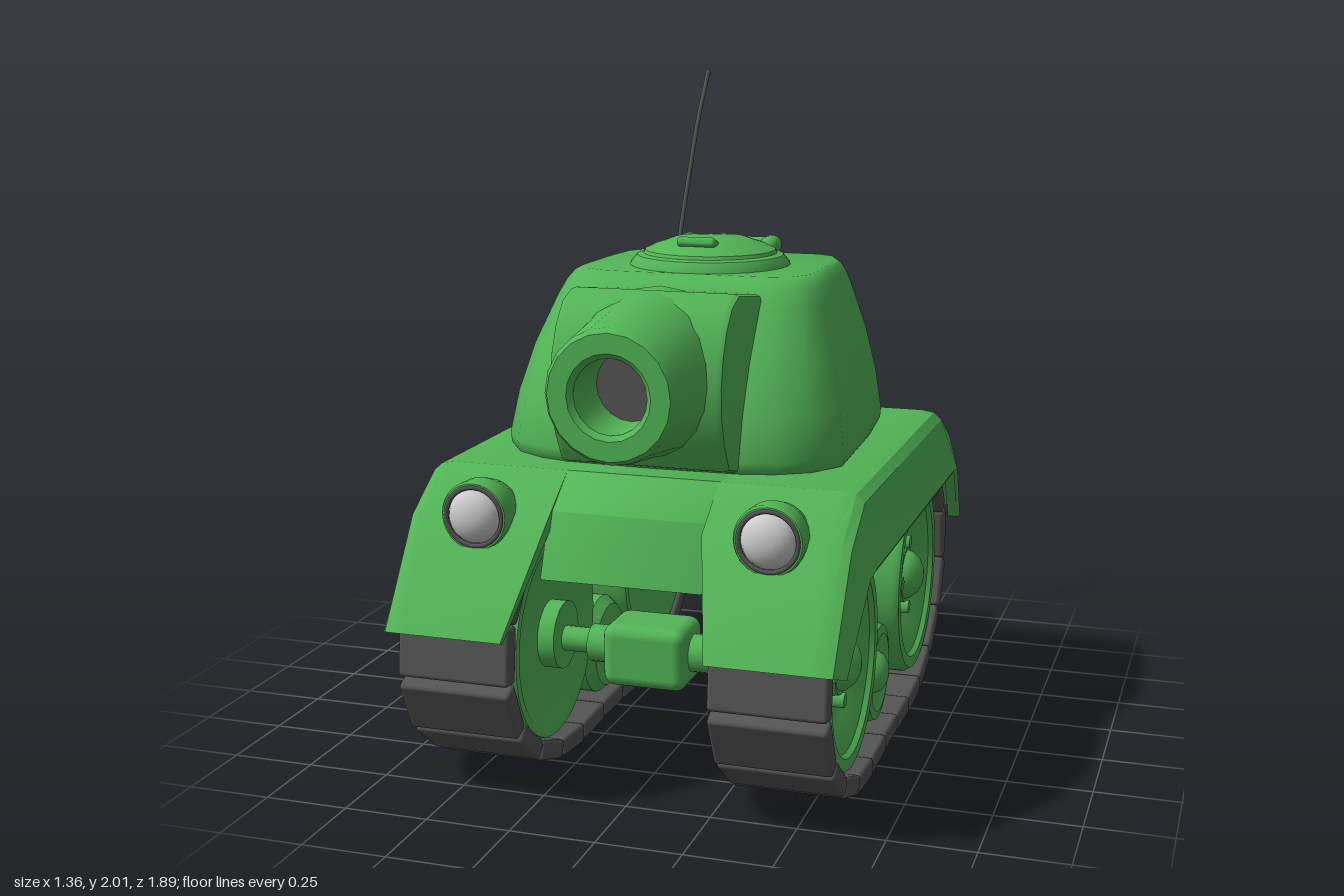
import * as THREE from 'three';
import { toCreasedNormals } from 'three/addons/utils/BufferGeometryUtils.js';
import { RoundedBoxGeometry } from 'three/addons/geometries/RoundedBoxGeometry.js';

const green = new THREE.MeshStandardMaterial({ color: 0x52b556 });
const dark = new THREE.MeshStandardMaterial({ color: 0x555555 });
const grey = new THREE.MeshStandardMaterial({ color: 0xcccccc });

function add(parent, name, geo, mat = green, pos = [0, 0, 0]) {
  const m = new THREE.Mesh(geo, mat);
  m.name = name;
  m.position.set(...pos);
  parent.add(m);
  return m;
}

// Flatten a loop: level loops use (x, z), the others use (x, y)
function flatten(loop) {
  const level = loop.every(p => Math.abs(p[1] - loop[0][1]) < 1e-6);
  return loop.map(p => new THREE.Vector2(p[0], level ? p[2] : p[1]));
}

// Skin a row of equal-length loops, close both ends, and face it outward
function loft(loops, crease = 0.5) {
  const n = loops[0].length, pos = loops.flat(2), idx = [];
  for (let i = 0; i < loops.length - 1; i++) for (let j = 0; j < n; j++) {
    const a = i * n + j, b = i * n + (j + 1) % n;
    idx.push(a, b, b + n, a, b + n, a + n);
  }
  for (const k of [0, loops.length - 1]) {
    // Caps follow the loop's direction; the first one is reversed
    const flat = flatten(loops[k]), clockwise = THREE.ShapeUtils.isClockWise(flat);
    for (const t of THREE.ShapeUtils.triangulateShape(flat, [])) {
      const same = THREE.ShapeUtils.isClockWise(t.map(i => flat[i])) === clockwise;
      if (same === (k === 0)) t.reverse();
      idx.push(...t.map(i => i + k * n));
    }
  }
  // Signed volume tells whether the whole skin is inside out
  const v = i => new THREE.Vector3().fromArray(pos, i * 3);
  let vol = 0;
  for (let i = 0; i < idx.length; i += 3) vol += v(idx[i]).dot(v(idx[i + 1]).cross(v(idx[i + 2])));
  if (vol < 0) idx.reverse();
  const g = new THREE.BufferGeometry();
  g.setAttribute('position', new THREE.Float32BufferAttribute(pos, 3));
  g.setIndex(idx);
  return toCreasedNormals(g, crease);
}

// Extrude a (z, y) side profile across x, centred on x = 0
function sideExtrude(pts, width, bevel = 0.01) {
  const shape = new THREE.Shape(pts.map(([z, y]) => new THREE.Vector2(-z, y)));
  const g = new THREE.ExtrudeGeometry(shape, {
    depth: width - 2 * bevel, bevelThickness: bevel, bevelSize: bevel, bevelOffset: -bevel, bevelSegments: 2,
  });
  g.translate(0, 0, bevel - width / 2).rotateY(Math.PI / 2);
  return toCreasedNormals(g, 0.5);
}

// Lathe of [radius, along] pairs, turned to run along the given axis
function turned(pts, axis = 'y', seg = 32) {
  const g = new THREE.LatheGeometry(pts.map(p => new THREE.Vector2(...p)), seg);
  if (axis === 'x') g.rotateZ(-Math.PI / 2);
  if (axis === 'z') g.rotateX(Math.PI / 2);
  return toCreasedNormals(g, 0.6);
}

function createFender(side) {
  // Stations: top z, y, bottom z, y, inner x, end taper
  const stations = [
    [0.945, 0.51, 0.885, 0.49, 0.29, 0.015], [0.75, 0.81, 0.69, 0.70, 0.225, 0],
    [0.59, 0.92, 0.60, 0.70, 0.225, 0], [-0.53, 0.92, -0.53, 0.70, 0.225, 0],
    [-0.70, 0.82, -0.61, 0.70, 0.25, 0], [-0.835, 0.54, -0.78, 0.50, 0.29, 0.015],
  ];
  return loft(stations.map(([tz, ty, bz, by, xi, e]) =>
    // Cross-section: x and how far it sits from top to bottom
    [[xi, 0], [0.575, 0], [0.615, 0.03], [0.64, 0.13], [0.682 - e, 0.92], [0.672 - e, 1], [0.64 - e, 1], [0.63 - e, 0.3], [xi, 0.3]]
      .map(([x, t]) => [side * x, ty + (by - ty) * t, tz + (bz - tz) * t])), 0.5);
}

function createRunningGear(name) {
  const gear = new THREE.Group();
  gear.name = name;
  // Track links spaced evenly along a closed path of mirrored (z, y) points
  const half = [[0.37, 0.032], [0.555, 0.077], [0.70, 0.17], [0.79, 0.285], [0.812, 0.44], [0.775, 0.56], [0.68, 0.67], [0.5, 0.745]];
  const loop = [[0, 0.032], ...half, [0, 0.765], ...half.map(([z, y]) => [-z, y]).reverse()];
  const path = new THREE.CatmullRomCurve3(loop.map(([z, y]) => new THREE.Vector3(0, y, z)), true);
  const linkGeo = new RoundedBoxGeometry(0.335, 0.058, 0.168, 2, 0.012);
  const count = 23;
  for (let i = 0; i < count; i++) {
    const p = path.getPointAt(i / count), t = path.getTangentAt(i / count);
    add(gear, 'trackLink', linkGeo, dark, [0.453, p.y, p.z]).rotation.x = -Math.atan2(t.y, t.z);
  }
  // Dished road wheels with hub and four bolts
  const wheelGeo = turned([[0, 0.27], [0.1, 0.27], [0.1, 0.32], [0.25, 0.32], [0.28, 0.30], [0.305, 0.30], [0.313, 0.33],
    [0.313, 0.58], [0.3, 0.6], [0.265, 0.6], [0.255, 0.585], [0.225, 0.575], [0.195, 0.545], [0.16, 0.53], [0.125, 0.535], [0.095, 0.54],
    [0.09, 0.565], [0.08, 0.565], [0.075, 0.58], [0.055, 0.603], [0.03, 0.615], [0, 0.62]], 'x', 40);
  const boltGeo = new THREE.CylinderGeometry(0.022, 0.022, 0.05, 6).rotateZ(-Math.PI / 2);
  for (const z of [0.45, -0.45]) {
    add(gear, 'roadWheel', wheelGeo, green, [0, 0.4, z]);
    for (let i = 0; i < 4; i++) {
      const a = i * Math.PI / 2;
      add(gear, 'wheelBolt', boltGeo, green, [0.55, 0.4 + 0.11 * Math.cos(a), z + 0.11 * Math.sin(a)]);
    }
  }
  // Small centre roller under a bracket whose outer face slopes inward
  add(gear, 'centreRoller', turned([[0, 0.3], [0.13, 0.3], [0.155, 0.33], [0.155, 0.55], [0.145, 0.575], [0.12, 0.58], [0.09, 0.565],
    [0.065, 0.565], [0.055, 0.585], [0.03, 0.6], [0, 0.605]], 'x'), green, [0, 0.22, 0]);
  add(gear, 'rollerBracket', loft([[0.73, 0.45, 0.17], [0.48, 0.28, 0.13]].map(([y, x, z]) =>
    [[0.21, y, z], [x, y, z], [x, y, -z], [0.21, y, -z]])));
  gear.position.z = 0.06;
  return gear;
}

function createTurret() {
  const turret = new THREE.Group();
  turret.name = 'turret';
  // Half outlines (x, z) at the base and at the roof edge
  const base = [[0.0, 0.51], [0.27, 0.5], [0.36, 0.475], [0.45, 0.42], [0.515, 0.32], [0.5, -0.1], [0.475, -0.36], [0.43, -0.45], [0.36, -0.5], [0, -0.52]];
  const roof = [[0.0, 0.25], [0.22, 0.25], [0.28, 0.24], [0.34, 0.21], [0.385, 0.14], [0.38, -0.1], [0.365, -0.28], [0.335, -0.35], [0.28, -0.385], [0, -0.4]];
  const layer = (y, t, k = 1) => {
    const h = base.map(([x, z], i) => [k * (x + (roof[i][0] - x) * t), y, k * (z + (roof[i][1] - z) * t)]);
    return [...h, ...h.slice(1, -1).reverse().map(([x, yy, z]) => [-x, yy, z])];
  };
  add(turret, 'turretShell', loft([layer(0.9, 0.05, 0.97), layer(0.925, 0.02), layer(0.955, 0), layer(1.08, 0.15), layer(1.22, 0.42),
    layer(1.36, 0.8), layer(1.405, 0.95), layer(1.43, 1.08), layer(1.44, 1.2)], 0.75));

  // Gun mantlet and tapering barrel with an open bore
  add(turret, 'mantlet', sideExtrude([[0.2, 0.92], [0.45, 0.91], [0.575, 0.945], [0.625, 1.03], [0.65, 1.11], [0.655, 1.19],
    [0.64, 1.27], [0.605, 1.345], [0.55, 1.405], [0.48, 1.43], [0.27, 1.40], [0.2, 1.37]], 0.51, 0.02));
  add(turret, 'barrel', turned([[0, 0.42], [0.24, 0.42], [0.225, 0.58], [0.21, 0.66], [0.188, 0.84], [0.175, 0.86], [0.12, 0.86],
    [0.105, 0.845], [0.1, 0.67]], 'z', 20), green, [0, 1.195, 0]);
  add(turret, 'bore', new THREE.CircleGeometry(0.105, 20), dark, [0, 1.195, 0.68]);

  // Round hatch with hinge and handle
  add(turret, 'hatch', turned([[0.25, 1.4], [0.245, 1.445], [0.225, 1.47], [0.205, 1.475], [0.2, 1.485], [0.17, 1.5], [0.11, 1.52],
    [0, 1.53]]), green, [0, 0, -0.05]);
  for (const s of [-1, 1]) add(turret, 'hingeKnuckle', new THREE.CapsuleGeometry(0.032, 0.03, 6, 14).rotateX(Math.PI / 2), green, [s * 0.135, 1.475, -0.25]);
  add(turret, 'hingeBar', new THREE.CylinderGeometry(0.028, 0.028, 0.26, 14).rotateZ(Math.PI / 2), green, [0, 1.475, -0.25]);
  add(turret, 'hatchHandle', new RoundedBoxGeometry(0.12, 0.03, 0.06, 2, 0.012), green, [0, 1.515, 0.075]).rotation.x = -0.35;

  // Whip antenna on its socket
  const whip = new THREE.CatmullRomCurve3([[-0.26, 1.27, -0.47], [-0.255, 1.45, -0.52], [-0.25, 1.63, -0.595], [-0.245, 1.83, -0.69], [-0.24, 1.99, -0.79]]
    .map(p => new THREE.Vector3(...p)));
  add(turret, 'antenna', new THREE.TubeGeometry(whip, 20, 0.008, 8), dark);
  add(turret, 'antennaTip', new THREE.SphereGeometry(0.011, 8, 6), dark, [-0.24, 1.989, -0.79]);
  add(turret, 'antennaCollar', turned([[0, -0.03], [0.025, -0.03], [0.025, -0.01], [0.032, -0.01], [0.032, 0.01], [0.02, 0.015], [0.02, 0.04], [0, 0.04]], 'y', 14),
    dark, [-0.26, 1.265, -0.472]).rotation.x = -0.25;
  add(turret, 'antennaSocket', new THREE.SphereGeometry(0.037, 14, 10), green, [-0.26, 1.205, -0.47]).scale.y = 1.4;
  return turret;
}

export function createModel() {
  const model = new THREE.Group();
  model.name = 'tank';

  // Hull between the fenders
  add(model, 'hull', sideExtrude([[0.59, 0.92], [0.71, 0.83], [0.78, 0.65], [0.19, 0.48], [-0.07, 0.48], [-0.7, 0.52],
    [-0.8, 0.57], [-0.68, 0.82], [-0.53, 0.92]], 0.48));

  for (const s of [-1, 1]) {
    const side = s > 0 ? 'left' : 'right';
    add(model, side + 'Fender', createFender(s));
    const gear = createRunningGear(side + 'RunningGear');
    if (s < 0) gear.rotation.y = Math.PI;
    model.add(gear);

    // Headlight housing, rim and lens
    const x = s * 0.425, y = 0.82;
    add(model, side + 'HeadlightHousing', turned([[0, 0.62], [0.045, 0.63], [0.08, 0.67], [0.098, 0.73], [0.1, 0.79], [0.095, 0.8], [0.085, 0.8], [0.08, 0.77], [0, 0.77]], 'z', 28), green, [x, y, 0]);
    add(model, side + 'HeadlightRim', new THREE.TorusGeometry(0.084, 0.007, 8, 28), dark, [x, y, 0.798]);
    add(model, side + 'HeadlightLens', new THREE.SphereGeometry(0.08, 24, 16), grey, [x, y, 0.78]).scale.z = 0.7;
  }

  // Axles with a central gearbox; the rear sleeve is the stouter one
  for (const [z, radius, width] of [[0.51, 0.055, 0.37], [-0.39, 0.085, 0.5]]) {
    add(model, 'axle', new THREE.CylinderGeometry(0.037, 0.037, 0.6, 16).rotateZ(Math.PI / 2), green, [0, 0.39, z]);
    add(model, 'axleSleeve', new THREE.CylinderGeometry(radius, radius, width, 20).rotateZ(Math.PI / 2), green, [0, 0.385, z]);
    add(model, 'gearbox', new RoundedBoxGeometry(0.25, 0.185, 0.19, 3, 0.035), green, [0, 0.38, z]);
  }

  model.add(createTurret());

  // Fuel can leaning on the rear plate
  const can = new THREE.Group();
  can.name = 'fuelCan';
  const shape = new THREE.Shape([[-0.18, -0.11], [0.175, -0.11], [0.175, 0.04], [0.115, 0.06], [0.115, 0.11], [-0.18, 0.11]]
    .map(p => new THREE.Vector2(...p)));
  const canGeo = new THREE.ExtrudeGeometry(shape, { depth: 0.09, bevelThickness: 0.027, bevelSize: 0.027, bevelSegments: 3 });
  add(can, 'canBody', toCreasedNormals(canGeo.translate(0, 0, -0.045), 0.6));
  add(can, 'canNeck', new THREE.CylinderGeometry(0.024, 0.024, 0.05, 14), green, [0.17, 0.07, 0.02]);
  add(can, 'canCap', new THREE.CylinderGeometry(0.034, 0.034, 0.04, 14), dark, [0.17, 0.095, 0.02]);
  can.position.set(0, 0.745, -0.825);
  can.rotation.x = 0.54;
  model.add(can);

  return model;
}
